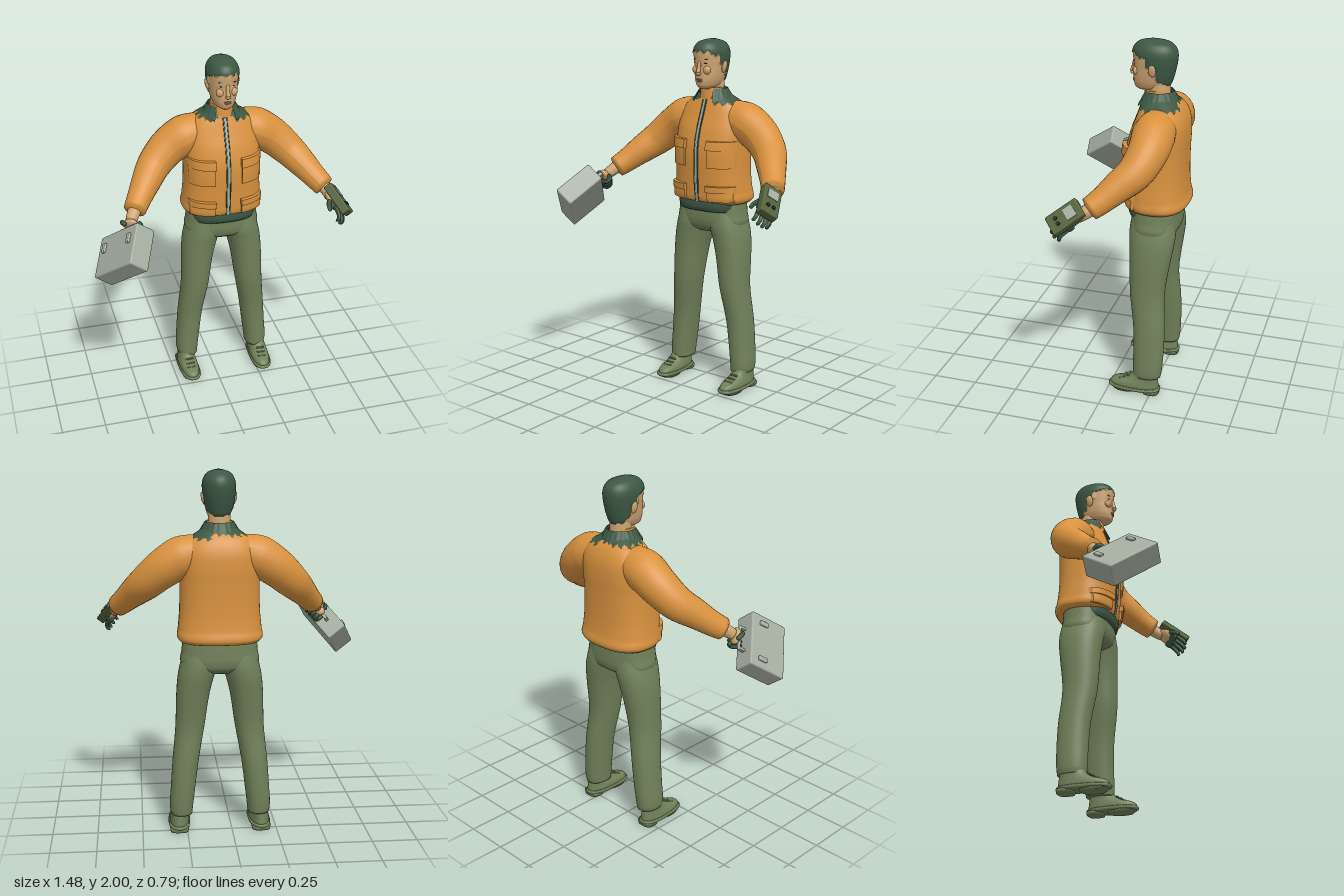
import * as THREE from 'three';
import { RoundedBoxGeometry } from 'three/addons/geometries/RoundedBoxGeometry.js';

const V = (x, y, z) => new THREE.Vector3(x, y, z);
const mat = (name, color) => Object.assign(new THREE.MeshStandardMaterial({ color }), { name });
const M = {
  skin: mat('skin', 0xd0a673), jacket: mat('jacket orange', 0xd9923f), dark: mat('dark green', 0x3d5843),
  olive: mat('trouser olive', 0x70815a), case: mat('case grey', 0xa5ada0), device: mat('device olive', 0x52623b),
  black: mat('black', 0x23271f), lip: mat('lip', 0xb07f5c),
};

function add(parent, name, geo, material, pos = [0, 0, 0], scale = [1, 1, 1]) {
  const m = new THREE.Mesh(geo, material);
  m.name = name;
  m.position.set(...pos);
  m.scale.set(...scale);
  parent.add(m);
  return m;
}

// smooth interpolation of cross-section rows [y, zBack, zFront, halfWidth, centreX]
function sections(rows) {
  const size = rows[0].length - 1;
  const it = new THREE.CubicInterpolant(rows.map(r => r[0]), rows.flatMap(r => r.slice(1)), size, new Float32Array(size));
  return y => {
    const [z0, z1, hx, cx = 0] = it.evaluate(y);
    return { cx, hx, cz: (z0 + z1) / 2, hz: (z1 - z0) / 2 };
  };
}

// closed body made of horizontal superellipse rings
function loft(rows, p = 2.3, n = 40, steps = 5) {
  const at = sections(rows), pos = [], idx = [], pw = v => Math.sign(v) * Math.abs(v) ** (2 / p);
  const ys = rows.slice(1).flatMap((r, k) => Array.from({ length: steps }, (_, s) => rows[k][0] + (r[0] - rows[k][0]) * s / steps));
  ys.push(rows.at(-1)[0]);
  ys.forEach((y, i) => {
    const c = at(y);
    for (let j = 0; j < n; j++) {
      const t = j / n * Math.PI * 2;
      pos.push(c.cx + c.hx * pw(Math.cos(t)), y, c.cz + c.hz * pw(Math.sin(t)));
      const a = i * n + j, b = i * n + (j + 1) % n;
      if (i < ys.length - 1) idx.push(a, a + n, b, b, a + n, b + n);
    }
  });
  [0, ys.length - 1].forEach((i, top) => {
    const c = at(ys[i]), k = pos.length / 3;
    pos.push(c.cx, ys[i], c.cz);
    for (let j = 0; j < n; j++) {
      const a = i * n + j, b = i * n + (j + 1) % n;
      idx.push(k, ...(top ? [b, a] : [a, b]));
    }
  });
  const g = new THREE.BufferGeometry();
  g.setAttribute('position', new THREE.Float32BufferAttribute(pos, 3));
  g.setIndex(idx);
  g.computeVertexNormals();
  return g;
}

// sorts faces into two material groups by a rule on the face centre
function paint(g, rule) {
  const lists = [[], []], p = g.attributes.position, ix = g.index.array;
  for (let f = 0; f < ix.length; f += 3) {
    const c = V(0, 0, 0), tri = [ix[f], ix[f + 1], ix[f + 2]];
    tri.forEach(i => c.add(V(p.getX(i), p.getY(i), p.getZ(i))));
    lists[rule(c.divideScalar(3)) ? 1 : 0].push(...tri);
  }
  g.setIndex([...lists[0], ...lists[1]]);
  g.addGroup(0, lists[0].length, 0);
  g.addGroup(lists[0].length, lists[1].length, 1);
  return g;
}

// tube with a changing radius and closed ends
function limb(points, radii, ts = 24, rs = 16) {
  const curve = new THREE.CatmullRomCurve3(points.map(p => V(...p)));
  const g = new THREE.TubeGeometry(curve, ts, 1, rs), p = g.attributes.position, v = V(0, 0, 0);
  for (let i = 0; i <= ts; i++) {
    const c = curve.getPointAt(i / ts), f = i / ts * (radii.length - 1), k = Math.min(Math.floor(f), radii.length - 2);
    const r = i === 0 || i === ts ? 0.001 : THREE.MathUtils.lerp(radii[k], radii[k + 1], f - k);
    for (let j = 0; j <= rs; j++) {
      const q = i * (rs + 1) + j;
      v.fromBufferAttribute(p, q).sub(c).multiplyScalar(r).add(c);
      p.setXYZ(q, v.x, v.y, v.z);
    }
  }
  g.computeVertexNormals();
  return g;
}

const ball = () => new THREE.SphereGeometry(1, 20, 14);

const TORSO = [[1.09, -.385, -.075, .215], [1.11, -.397, -.062, .23], [1.16, -.388, -.056, .226], [1.25, -.38, -.052, .218],
  [1.4, -.38, -.05, .215], [1.5, -.383, -.07, .215], [1.58, -.375, -.1, .205], [1.64, -.35, -.122, .17],
  [1.675, -.32, -.135, .12], [1.70, -.29, -.145, .085]];

function buildJacket(body) {
  const dx = a => Math.abs(a.x);
  const jag = a => .008 * Math.sin(Math.atan2(a.z + .22, a.x) * 19);
  add(body, 'jacketBody', paint(loft(TORSO, 2.5, 64, 6), a =>
    dx(a) > .035 && a.y > 1.665 + jag(a) - (a.x > .05 ? .018 : 0)), [M.jacket, M.dark]);
  // plates that follow the curved jacket front
  const at = sections(TORSO);
  const plate = (name, x, y, w, h, t, m) => {
    const g = new THREE.BoxGeometry(w, h, t, 8, 8, 1), p = g.attributes.position;
    for (let i = 0; i < p.count; i++) {
      const X = p.getX(i) + x, Y = p.getY(i) + y, c = at(Y);
      const z = c.cz + c.hz * Math.max(0, 1 - Math.min(1, Math.abs(X) / c.hx) ** 2.5) ** .4;
      p.setXYZ(i, X, Y, z + p.getZ(i));
    }
    g.computeVertexNormals();
    add(body, name, g, m);
  };
  for (const s of [-1, 1]) {
    plate('chestPocket', s * .142, 1.365, .13, .13, .03, M.jacket);
    plate('chestPocketFlap', s * .142, 1.425, .138, .05, .05, M.jacket);
    plate('lowerPocket', s * .142, 1.145, .13, .075, .03, M.jacket);
    plate('lowerPocketFlap', s * .142, 1.18, .138, .035, .05, M.jacket);
    plate('zipEdge', s * .011, 1.385, .005, .57, .014, M.dark);
    // bent sleeve with a gathered cuff
    add(body, 'sleeve', limb([[.1, 1.565, -.24], [.2, 1.545, -.24], [.3, 1.485, -.235], [.39, 1.405, -.195], [.455, 1.34, -.12],
      [.51, 1.28, -.05], [.553, 1.235, .012]].map(([x, y, z]) => [s * x, y, z]), [.1, .115, .106, .096, .084, .07, .06], 40, 24), M.jacket);
  }
  plate('zip', 0, 1.385, .014, .57, .012, M.case);
  add(body, 'neckBand', new THREE.CylinderGeometry(.067, .075, .075, 32), M.jacket, [0, 1.697, -.205]);
  // standing collar, open at the front, with a ragged lower edge
  const g = new THREE.CylinderGeometry(.078, .118, .065, 48, 1, true, .55, Math.PI * 2 - 1.1), p = g.attributes.position;
  for (let i = 49; i < 98; i++) p.setY(i, p.getY(i) - (i % 3) * .007);
  g.computeVertexNormals();
  const collarMat = M.dark;
  collarMat.side = THREE.DoubleSide;
  add(body, 'collar', g, collarMat, [0, 1.697, -.215]);
}

function buildHead(body) {
  const rows = [[1.728, -.16, -.105, .02], [1.74, -.235, -.088, .045], [1.765, -.27, -.078, .062], [1.80, -.285, -.076, .072],
    [1.85, -.298, -.078, .079], [1.89, -.305, -.075, .083], [1.93, -.306, -.073, .083], [1.96, -.294, -.084, .073],
    [1.982, -.265, -.11, .053], [1.994, -.22, -.155, .02]];
  const hair = a => {
    const j = .006 * Math.sin(a.x * 160) + .004 * Math.sin(a.z * 260);
    return a.y > 1.935 + j - Math.max(0, Math.abs(a.x) - .045) * .6 || (a.z < -.165 + j && a.y > 1.865)
      || (a.z < -.212 && a.y > 1.80 + j + (a.z + .212) * .7);
  };
  const g = loft(rows, 2.15, 72, 8), p = g.attributes.position, n = g.attributes.normal;
  for (let i = 0; i < p.count; i++) {
    const v = V(0, 0, 0).fromBufferAttribute(p, i);
    if (hair(v)) p.setXYZ(i, v.x + n.getX(i) * .006, v.y + n.getY(i) * .006, v.z + n.getZ(i) * .006);
  }
  g.computeVertexNormals();
  add(body, 'head', paint(g, hair), [M.skin, M.dark]);
  add(body, 'neck', new THREE.CylinderGeometry(.058, .062, .14, 28), M.skin, [0, 1.735, -.215]);
  // face
  add(body, 'noseBridge', limb([[0, 1.885, -.08], [0, 1.85, -.073], [0, 1.815, -.066]], [.009, .01, .014], 12, 12), M.skin);
  add(body, 'noseTip', ball(), M.skin, [0, 1.815, -.068], [.016, .01, .013]);
  add(body, 'upperLip', ball(), M.lip, [0, 1.783, -.078], [.022, .005, .008]);
  add(body, 'lowerLip', ball(), M.lip, [0, 1.774, -.079], [.018, .005, .008]);
  for (const s of [-1, 1]) {
    const eye = add(body, 'eye', ball(), M.black, [s * .033, 1.872, -.087], [.012, .003, .004]);
    const brow = add(body, 'brow', ball(), M.dark, [s * .035, 1.893, -.086], [.018, .003, .004]);
    eye.rotation.y = brow.rotation.y = s * .3;
    add(body, 'cheek', ball(), M.skin, [s * .035, 1.835, -.097], [.025, .025, .018]);
    const ear = add(body, 'ear', ball(), M.skin, [s * .085, 1.85, -.195], [.01, .034, .021]);
    ear.rotation.z = -s * .2;
  }
}

function buildLegs(body) {
  add(body, 'undershirt', loft([[1.045, -.28, -.075, .175], [1.07, -.3, -.066, .185], [1.16, -.3, -.075, .19]], 2.6), M.dark);
  add(body, 'hips', loft([[.915, -.3, -.14, .11], [.94, -.335, -.105, .185], [.97, -.348, -.09, .213], [1.03, -.35, -.085, .208],
    [1.12, -.345, -.09, .2]], 2.5), M.olive);
  for (const s of [-1, 1]) {
    const leg = [[.1, -.3, -.142, .06, .216], [.13, -.305, -.14, .064, .217], [.25, -.312, -.14, .068, .207], [.4, -.312, -.135, .072, .192],
      [.6, -.302, -.108, .08, .165], [.8, -.328, -.1, .092, .146], [.9, -.343, -.094, .1, .128], [.96, -.345, -.09, .103, .112],
      [1.05, -.33, -.1, .09, .1]];
    add(body, 'trouserLeg', loft(leg.map(r => [...r.slice(0, 4), s * r[4]]), 2.2), M.olive);
    // shoe
    const shoe = new THREE.Group();
    shoe.name = 'shoe';
    shoe.position.x = s * .222;
    shoe.rotation.y = -s * .03;
    body.add(shoe);
    add(shoe, 'upper', loft([[.02, -.292, -.01, .052], [.04, -.292, -.008, .055], [.06, -.29, -.03, .052], [.075, -.288, -.085, .048],
      [.095, -.285, -.125, .045], [.13, -.28, -.15, .043]], 2.3), M.olive);
    add(shoe, 'sole', loft([[.012, -.295, -.008, .054], [.018, -.3, 0, .06], [.03, -.3, 0, .06], [.034, -.295, -.005, .056]], 2.6, 40, 2), M.olive);
    add(shoe, 'heel', loft([[0, -.296, -.205, .05], [.02, -.299, -.2, .054]], 3, 32, 2), M.olive);
    add(shoe, 'forefootSole', loft([[0, -.165, -.03, .05], [.016, -.18, -.008, .056]], 2.4, 32, 2), M.olive);
    for (let k = 0; k < 3; k++) add(shoe, 'lace', new RoundedBoxGeometry(.05, .008, .012, 2, .003), M.olive, [0, .068 + k * .013, -.07 - k * .024]);
  }
}

function frame(root, name, x, y, z, centre) {
  const g = new THREE.Group();
  g.name = name;
  g.quaternion.setFromRotationMatrix(new THREE.Matrix4().makeBasis(x.normalize(), y.normalize(), z.normalize()));
  g.position.set(...centre);
  root.add(g);
  return g;
}

// hard case held by a gloved hand
function buildCase(root) {
  const x = V(.164, .187, .204), y = V(.08, .1315, -.185);
  const g = frame(root, 'carryCase', x, y, x.clone().cross(y), [-.581, 1.095, .2]);
  add(g, 'caseShell', new RoundedBoxGeometry(.322, .24, .12, 3, .009), M.case);
  for (const s of [-1, 1]) {
    add(g, 'latch', new RoundedBoxGeometry(.026, .055, .018, 2, .005), M.case, [s * .108, .04, .064]);
    add(g, 'handlePost', new THREE.BoxGeometry(.014, .04, .018), M.case, [s * .065, .135, 0]);
  }
  add(g, 'handleBar', new RoundedBoxGeometry(.144, .014, .02, 2, .005), M.case, [0, .157, 0]);
  add(g, 'rightPalm', ball(), M.skin, [0, .184, 0], [.05, .022, .036]);
  for (let i = 0; i < 4; i++) {
    const X = -.036 + i * .025;
    add(g, 'rightFinger', limb([[X, .192, -.02], [X, .185, -.045], [X, .155, -.05], [X, .14, -.025], [X, .14, 0]], [.013, .013, .012, .011, .01], 14, 10), M.dark);
  }
  add(g, 'rightThumb', limb([[-.035, .19, .02], [-.015, .18, .04], [.015, .158, .034]], [.014, .013, .011], 10, 10), M.dark);
  add(root, 'rightWrist', limb([[-.46, 1.265, -.03], [-.49, 1.232, .015], [-.515, 1.2, .055]], [.038, .036, .03], 12, 14), M.skin);
}

// hand-back device with screen and buttons
function buildDevice(root) {
  const x = V(.34, -.56, .75), y = V(.75, .6, .1);
  const g = frame(root, 'handDevice', x, y, x.clone().cross(y), [.66, 1.205, .11]);
  add(g, 'deviceBody', new RoundedBoxGeometry(.19, .05, .11, 3, .008), M.device);
  add(g, 'deviceScreen', new THREE.BoxGeometry(.055, .006, .065), M.case, [-.035, .026, 0]);
  for (const z of [-.016, .018]) add(g, 'deviceButton', new THREE.CylinderGeometry(.011, .011, .008, 16), M.black, [.045, .027, z]);
  add(g, 'leftPalm', ball(), M.skin, [-.015, -.035, -.008], [.065, .022, .045]);
  add(g, 'strap', new RoundedBoxGeometry(.04, .05, .1, 2, .01), M.dark, [.015, -.033, -.008]);
  for (let i = 0; i < 4; i++) {
    const Z = -.045 + i * .025, e = i === 1 || i === 2 ? .012 : 0;
    add(g, 'leftFinger', limb([[.02, -.036, Z], [.07 + e, -.04, Z * 1.1], [.098 + e, -.055, Z * 1.15], [.1 + e, -.078, Z * 1.15]], [.013, .012, .011, .009], 12, 10), M.dark);
  }
  add(g, 'leftThumb', limb([[-.02, -.04, .03], [.015, -.058, .058], [.045, -.065, .066]], [.015, .013, .01], 10, 10), M.dark);
  add(root, 'leftWrist', limb([[.59, 1.265, -.03], [.62, 1.23, .015], [.632, 1.195, .065]], [.038, .036, .03], 12, 14), M.skin);
}

export function createModel() {
  const root = new THREE.Group();
  root.name = 'figureWithCase';
  const body = new THREE.Group();
  body.name = 'body';
  body.position.x = .065;
  root.add(body);
  buildJacket(body);
  buildHead(body);
  buildLegs(body);
  buildCase(root);
  buildDevice(root);
  return root;
}
